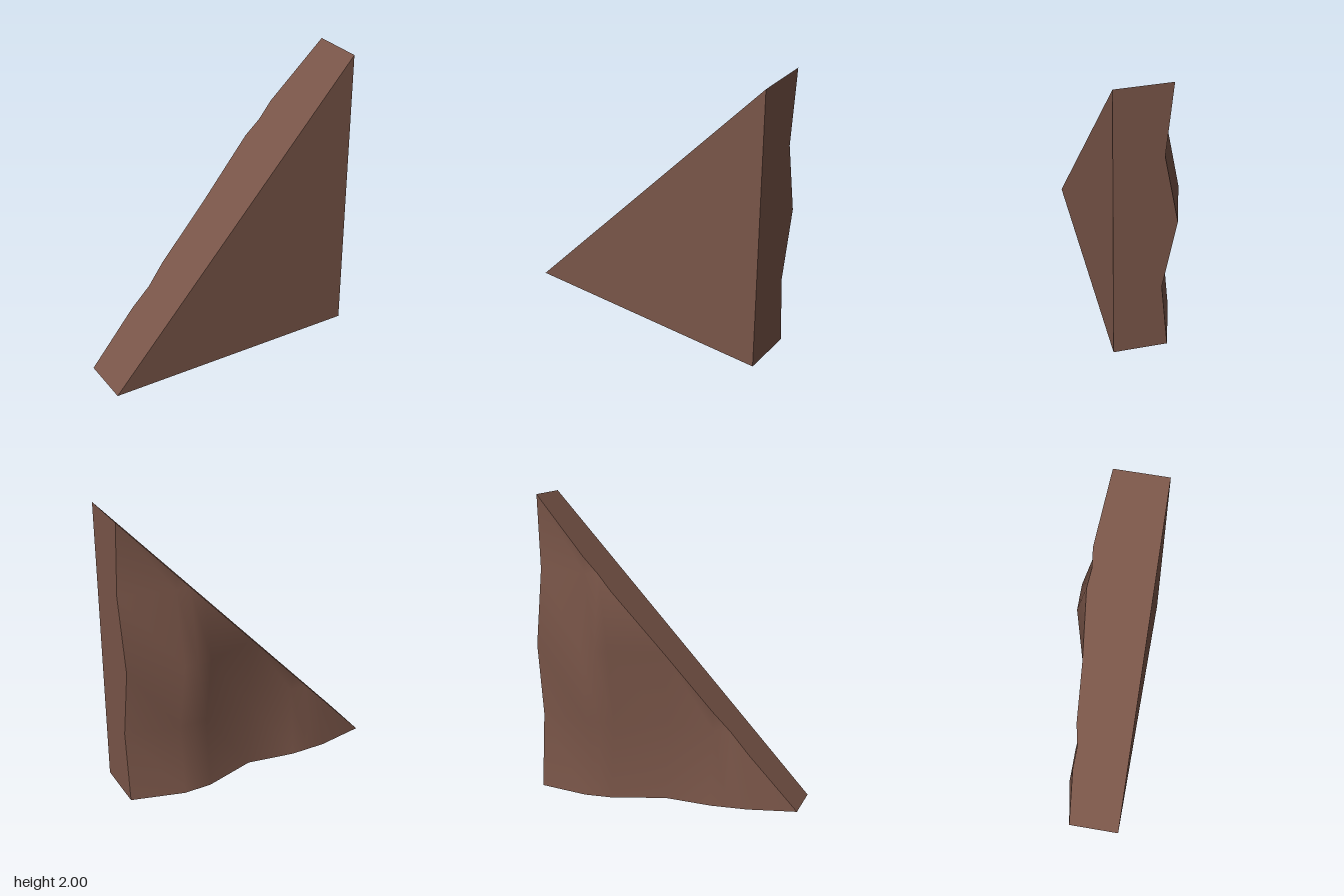
import * as THREE from 'three';
import { mergeVertices } from 'three/addons/utils/BufferGeometryUtils.js';

const HALF = 0.89, HEIGHT = 2, FRONT = 0.25;

// Depth of the rippled back is the sum of one profile across x and one up y
const acrossX = [[-0.89, -0.105], [-0.57, -0.16], [-0.325, -0.16], [0, -0.105], [0.35, -0.205], [0.54, -0.205], [0.89, -0.105]];
const upY = [[0, 0], [0.5, 0.045], [1, -0.045], [1.5, 0.045], [2, 0]];

function sample(profile, t) {
  for (let i = 1; i < profile.length; i++) {
    const [a, va] = profile[i - 1], [b, vb] = profile[i];
    if (t <= b + 1e-6) return va + (vb - va) * (t - a) / (b - a);
  }
  return profile[profile.length - 1][1];
}

const slopeY = (x) => (x + HALF) / (2 * HALF) * HEIGHT;
const back = (x, y) => [x, y, sample(acrossX, x) + sample(upY, y)];
const front = (x, y) => [x, y, FRONT];

// Fan a list of convex polygons into one geometry, skipping empty triangles
function fromPolygons(polygons) {
  const pos = [];
  const same = (a, b) => a.every((v, i) => Math.abs(v - b[i]) < 1e-6);
  for (const p of polygons) {
    for (let i = 1; i < p.length - 1; i++) {
      const [a, b, c] = [p[0], p[i], p[i + 1]];
      if (!same(a, b) && !same(b, c) && !same(a, c)) pos.push(...a, ...b, ...c);
    }
  }
  const geometry = new THREE.BufferGeometry();
  geometry.setAttribute('position', new THREE.Float32BufferAttribute(pos, 3));
  return geometry;
}

export function createModel() {
  const group = new THREE.Group();
  group.name = 'rockWedge';
  const rock = new THREE.MeshStandardMaterial({ color: 0x795548 });
  rock.name = 'brown rock';

  function add(name, polygons, smooth = false) {
    let geometry = fromPolygons(polygons);
    if (smooth) geometry = mergeVertices(geometry, 1e-4);
    geometry.computeVertexNormals();
    const mesh = new THREE.Mesh(geometry, rock);
    mesh.name = name;
    group.add(mesh);
  }

  // Columns at every profile break and where the slope crosses a row
  const rows = upY.map(([y]) => y);
  const columns = [...acrossX.map(([x]) => x), ...rows.map((y) => y * HALF - HALF)]
    .sort((a, b) => a - b)
    .filter((x, i, all) => i === 0 || x - all[i - 1] > 1e-6);

  // Flat triangular front
  add('frontFace', [[front(-HALF, 0), front(HALF, 0), front(HALF, HEIGHT)]]);

  // Smooth rippled back, in vertical strips cut off by the slope
  const patches = [];
  for (let i = 1; i < columns.length; i++) {
    const x0 = columns[i - 1], x1 = columns[i];
    const below = rows.filter((y) => y < slopeY(x1) - 1e-6);
    below.forEach((y, j) => {
      const last = j === below.length - 1;
      const top0 = last ? slopeY(x0) : below[j + 1];
      const top1 = last ? slopeY(x1) : below[j + 1];
      patches.push([back(x0, y), back(x0, top0), back(x1, top1), back(x1, y)]);
    });
  }
  add('rippledBack', patches, true);

  // Flat side walls joining front and back, walked counterclockwise
  const wall = (path) => path.slice(1).map((b, i) => {
    const a = path[i];
    return [front(...a), back(...a), back(...b), front(...b)];
  });
  add('bottomFace', wall(columns.map((x) => [x, 0])));
  add('uprightSide', wall(rows.map((y) => [HALF, y])));
  add('slopedSide', wall([...columns].reverse().map((x) => [x, slopeY(x)])));

  return group;
}
